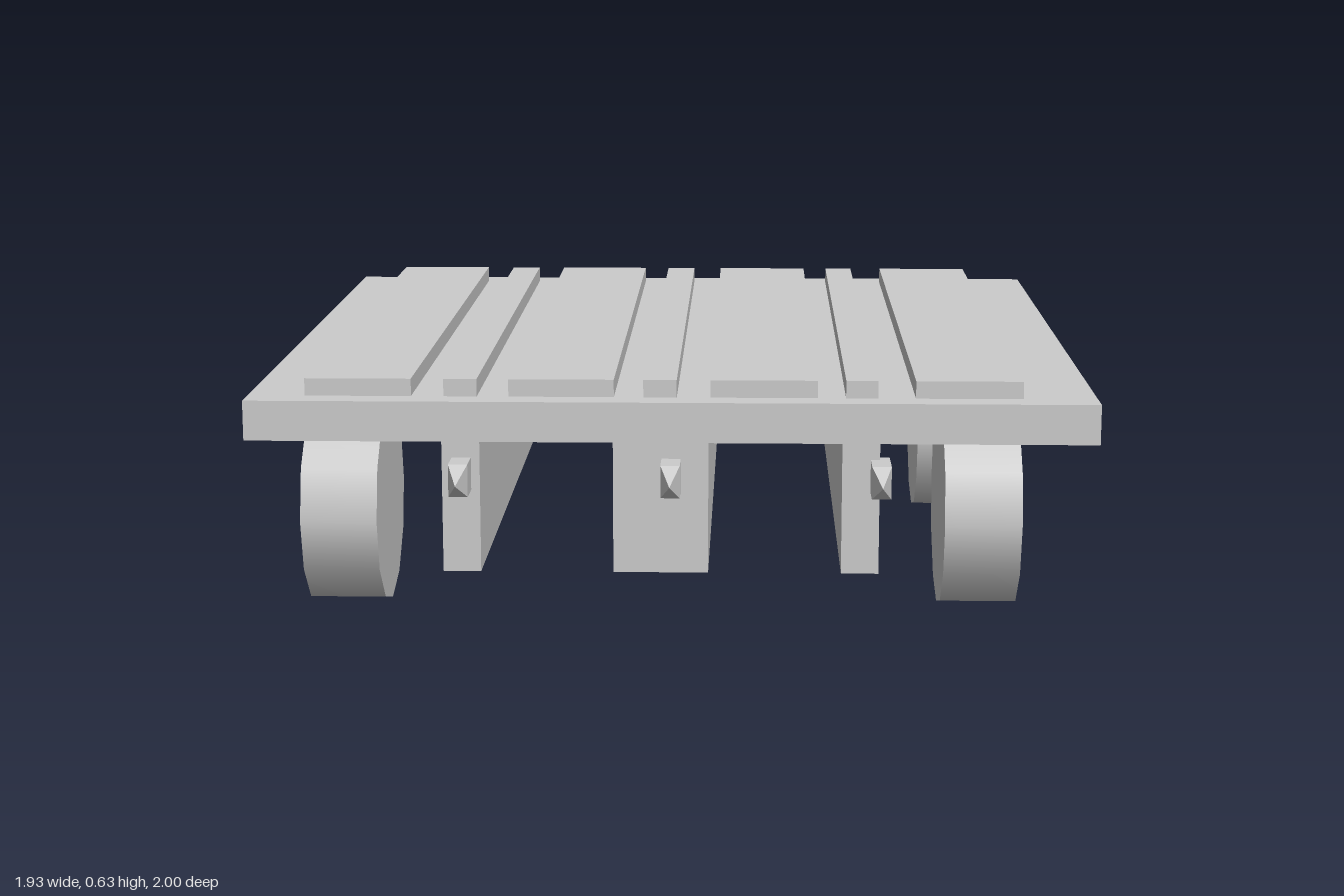
import * as THREE from 'three';

const material = new THREE.MeshStandardMaterial({ color: 0xcccccc });
const openMaterial = new THREE.MeshStandardMaterial({ color: 0xcccccc, side: THREE.DoubleSide });

function addMesh(parent, name, geometry, mat = material) {
  const mesh = new THREE.Mesh(geometry, mat);
  mesh.name = name;
  parent.add(mesh);
  return mesh;
}

// Box given by its lower and upper limits on each axis
function boxBetween(x0, x1, y0, y1, z0, z1) {
  return new THREE.BoxGeometry(x1 - x0, y1 - y0, z1 - z0)
    .translate((x0 + x1) / 2, (y0 + y1) / 2, (z0 + z1) / 2);
}

// Box with only its four upright walls
function wallsBetween(...limits) {
  const geometry = boxBetween(...limits);
  const index = Array.from(geometry.index.array);
  index.splice(12, 12); // drop the top and bottom faces
  geometry.setIndex(index);
  geometry.clearGroups();
  return geometry;
}

export function createModel() {
  const model = new THREE.Group();
  model.name = 'wheeledPlatform';

  const deckBottom = 0.495, deckTop = 0.587;
  const back = -0.93, front = 0.865;

  // Deck
  addMesh(model, 'deck', boxBetween(-0.966, 0.966, deckBottom, deckTop, -1, 0.93));

  // Alternating wide and narrow planks
  const planks = [
    [-0.835, -0.592], [-0.518, -0.442], [-0.37, -0.13], [-0.063, 0.013],
    [0.09, 0.333], [0.397, 0.47], [0.555, 0.798],
  ];
  for (const [x0, x1] of planks) {
    addMesh(model, 'plank', boxBetween(x0, x1, deckTop, 0.627, back, front));
  }

  // Hollow beams, open underneath
  for (const [x0, x1] of [[-0.525, -0.438], [-0.133, 0.085], [0.39, 0.476]]) {
    addMesh(model, 'beam', wallsBetween(x0, x1, 0.177, deckBottom, back, front), openMaterial);
  }

  // Pointed pins at the front of the beams
  const pinWidth = 0.044, pinHeight = 0.075, pinNeck = 0.94;
  for (const x of [-0.48, 0, 0.477]) {
    const pin = new THREE.Group();
    pin.name = 'pin';
    pin.position.set(x, 0.407, 0);
    addMesh(pin, 'pinShaft', boxBetween(-pinWidth / 2, pinWidth / 2, -pinHeight / 2, pinHeight / 2, 0.84, pinNeck));
    const tip = new THREE.ConeGeometry(Math.SQRT1_2, 1 - pinNeck, 4, 1, true)
      .rotateY(Math.PI / 4)
      .rotateX(Math.PI / 2)
      .scale(pinWidth, pinHeight, 1)
      .translate(0, 0, (1 + pinNeck) / 2)
      .toNonIndexed();
    tip.computeVertexNormals();
    addMesh(pin, 'pinTip', tip);
    model.add(pin);
  }

  // Three wheels: two on the left, one at the front right
  const radius = 0.2475;
  const wheel = new THREE.CylinderGeometry(radius, radius, 0.182, 12).rotateZ(Math.PI / 2);
  for (const [x, z] of [[0.731, 0.446], [0.731, -0.603], [-0.794, 0.446]]) {
    addMesh(model, 'wheel', wheel).position.set(x, radius, z);
  }

  return model;
}
